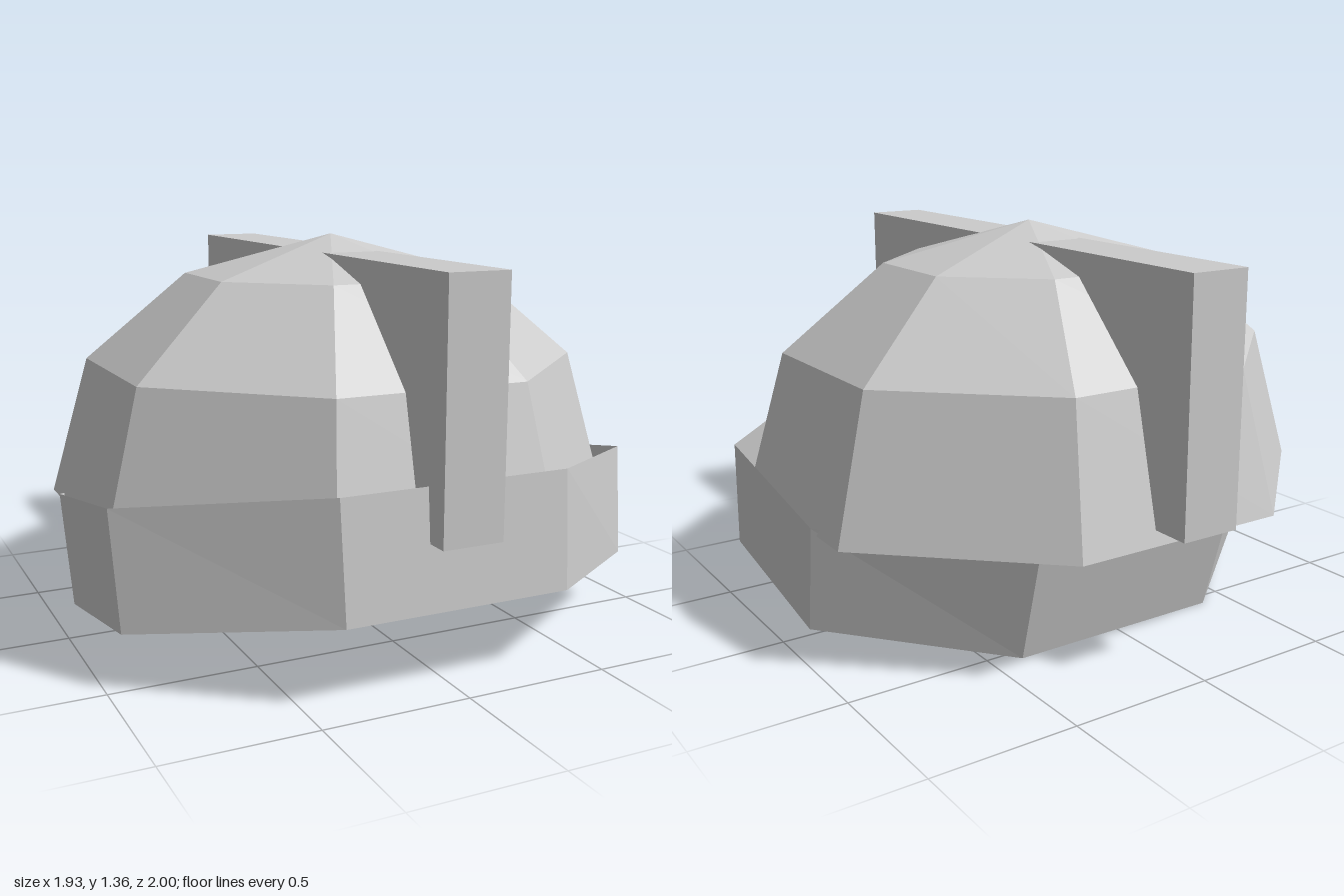
import * as THREE from 'three';

const SIDES = 8;

// Octagonal lathe with flat sides facing front, back, left and right.
function octagon(profile) {
  const points = profile.map(([r, y]) => new THREE.Vector2(r, y));
  return new THREE.LatheGeometry(points, SIDES, Math.PI / SIDES);
}

export function createModel() {
  const model = new THREE.Group();
  const material = new THREE.MeshStandardMaterial({
    color: 0xcccccc, flatShading: true, side: THREE.DoubleSide,
  });
  const add = (name, geometry) => {
    const mesh = new THREE.Mesh(geometry, material);
    mesh.name = name;
    model.add(mesh);
    return mesh;
  };

  // Faceted dome with a closed underside, slightly shorter front to back
  const dome = octagon([[0, 0.44], [1.028, 0.44], [0.888, 0.925], [0.525, 1.228], [0, 1.365]]);
  dome.scale(1, 1, 0.924);
  add('dome', dome);

  // Open tray around the dome: flat floor and walls that flare a little
  const tray = octagon([[0, 0], [1.028, 0], [1.028, 0.393]]);
  tray.scale(1, 1, 0.798);
  const pos = tray.attributes.position;
  for (let i = 0; i < pos.count; i++) {
    if (pos.getY(i) > 0.1) {
      pos.setX(i, pos.getX(i) * 1.016);
      pos.setZ(i, pos.getZ(i) * 1.049);
    }
  }
  const band = add('tiltedBand', tray);
  band.rotation.x = THREE.MathUtils.degToRad(-10.2);
  band.position.set(0, 0.138, 0.195);

  // Upright fin running front to back through the dome
  add('crestFin', new THREE.BoxGeometry(0.21, 0.82, 2)).position.y = 0.9;

  return model;
}
